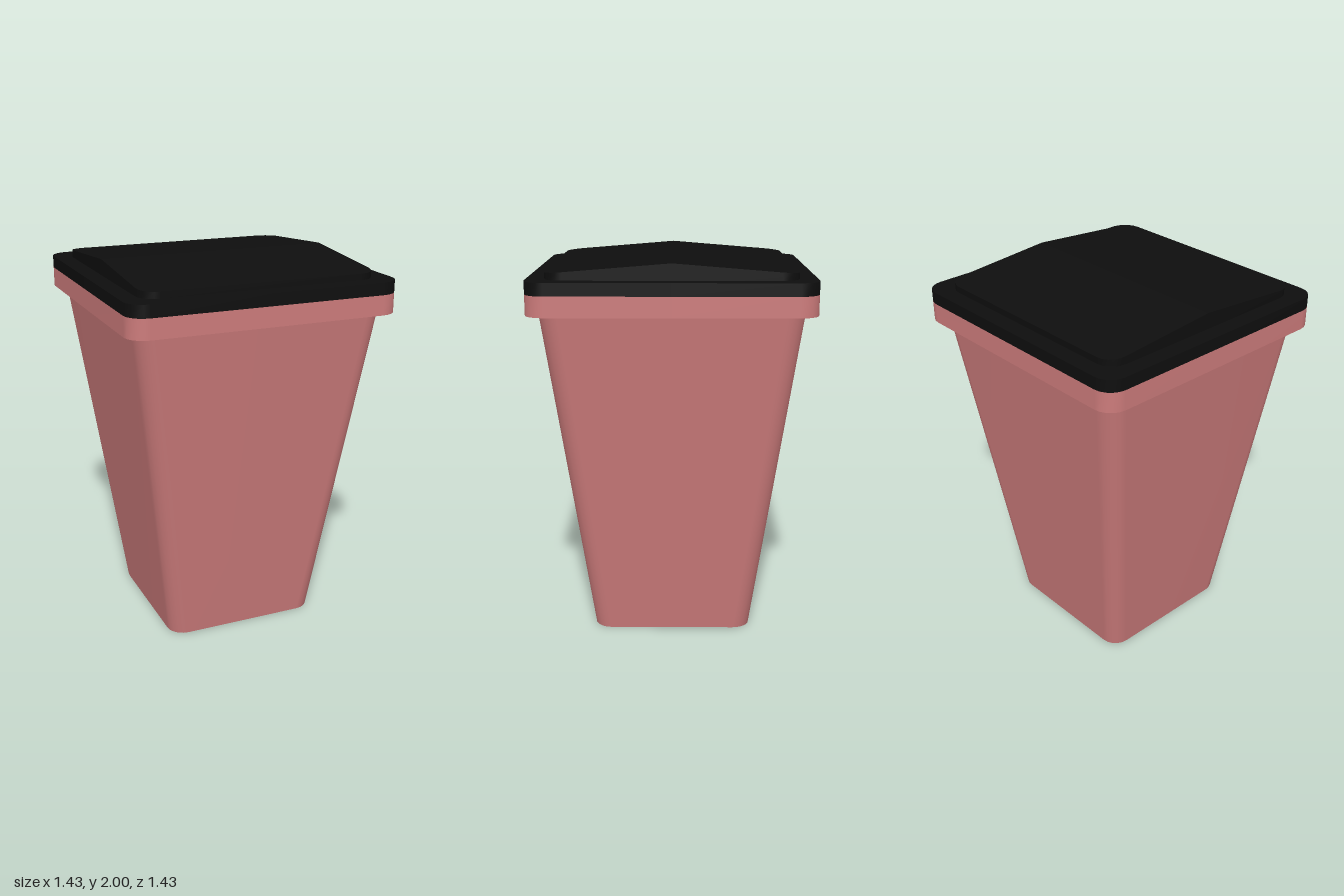
import * as THREE from 'three';
import { mergeGeometries } from 'three/addons/utils/BufferGeometryUtils.js';

const CORNER_STEPS = 5;

// Rounded square outline; yAt gives the height for each z.
function ring(half, radius, yAt) {
  const right = [];
  const c = half - radius;
  const corner = (from, to, cz) => {
    for (let i = 0; i <= CORNER_STEPS; i++) {
      const a = THREE.MathUtils.lerp(from, to, i / CORNER_STEPS);
      right.push([c + radius * Math.cos(a), cz + radius * Math.sin(a)]);
    }
  };
  corner(Math.PI / 2, 0, c);
  right.push([half, 0]);
  corner(0, -Math.PI / 2, -c);
  const left = right.map(([x, z]) => [-x, z]).reverse();
  return [...right, ...left].map(([x, z]) => new THREE.Vector3(x, yAt(z), z));
}

// Flat-shaded cap made of strips running across x, so a ridge at z = 0 stays sharp.
function cap(points, up) {
  const n = points.length;
  const tris = [];
  for (let i = 0; i < n / 2 - 1; i++) {
    const [a, b, c, d] = [points[i], points[i + 1], points[n - 2 - i], points[n - 1 - i]];
    tris.push(...(up ? [a, b, c, a, c, d] : [a, c, b, a, d, c]));
  }
  const g = new THREE.BufferGeometry().setFromPoints(tris);
  g.computeVertexNormals();
  return g;
}

// Closed solid between two outlines, smooth around the sides.
function loft(bottom, top) {
  const n = bottom.length;
  const index = [];
  for (let i = 0; i < n; i++) {
    const j = (i + 1) % n;
    index.push(i, j, n + j, i, n + j, n + i);
  }
  const sides = new THREE.BufferGeometry().setFromPoints([...bottom, ...top]);
  sides.setIndex(index);
  sides.computeVertexNormals();
  return mergeGeometries([sides.toNonIndexed(), cap(bottom, false), cap(top, true)]);
}

export function createModel() {
  const group = new THREE.Group();
  const red = new THREE.MeshStandardMaterial({ color: 0xcc7b7b });
  const black = new THREE.MeshStandardMaterial({ color: 0x0e0e0e });

  const add = (name, material, bottom, top) => {
    const mesh = new THREE.Mesh(loft(bottom, top), material);
    mesh.name = name;
    group.add(mesh);
  };
  const level = (y) => () => y;
  const gable = (z) => 2 - 0.05 * Math.abs(z) / 0.62;

  // Tapered bin and its overhanging rim
  add('binBody', red, ring(0.42, 0.09, level(0)), ring(0.655, 0.1, level(1.75)));
  add('rim', red, ring(0.713, 0.1, level(1.75)), ring(0.713, 0.1, level(1.853)));

  // Lid with a raised panel that peaks along x
  add('lid', black, ring(0.713, 0.1, level(1.853)), ring(0.713, 0.1, level(1.917)));
  add('lidPanel', black, ring(0.623, 0.09, level(1.917)), ring(0.623, 0.09, gable));

  return group;
}
